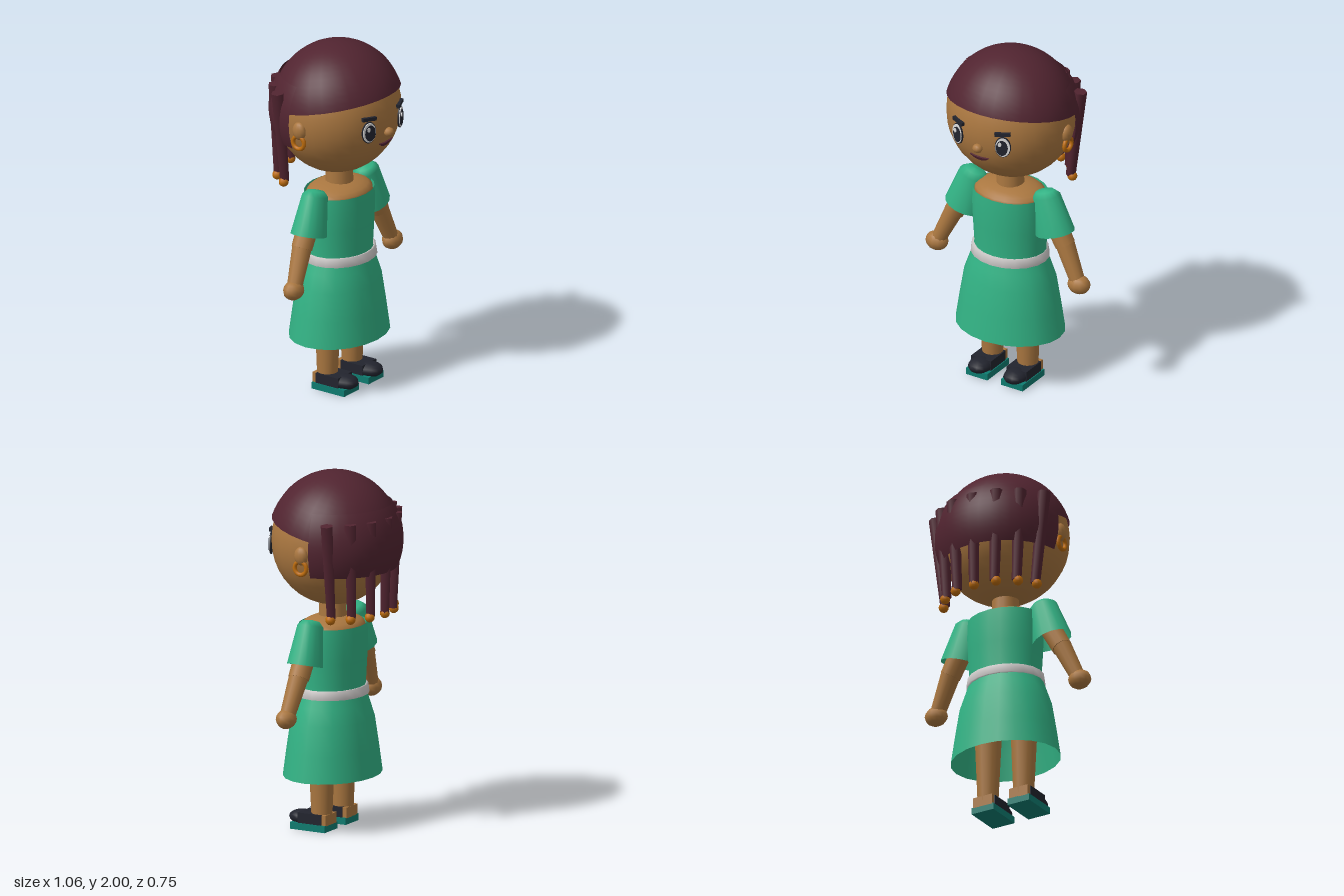
import * as THREE from 'three';

const mat = (name, color, side = THREE.FrontSide) => {
  const m = new THREE.MeshStandardMaterial({ color, side });
  m.name = name;
  return m;
};

export function createModel() {
  const root = new THREE.Group();
  root.name = 'girl';
  const skin = mat('skin', 0xaa7740);
  const hair = mat('hair', 0x512430, THREE.DoubleSide);
  const cloth = mat('green cloth', 0x32b284, THREE.DoubleSide);
  const sash = mat('belt white', 0xcfcbca, THREE.DoubleSide);
  const gold = mat('gold', 0xbd6c0c);
  const black = mat('black', 0x22242e);
  const teal = mat('sole teal', 0x0e7c70);
  const white = mat('eye white', 0xdcdcdc);

  const add = (name, geo, m, x = 0, y = 0, z = 0, parent = root) => {
    const mesh = new THREE.Mesh(geo, m);
    mesh.name = name;
    mesh.position.set(x, y, z);
    parent.add(mesh);
    return mesh;
  };
  const ball = (rx, ry, rz, w = 20, h = 14) => new THREE.SphereGeometry(1, w, h).scale(rx, ry, rz);
  const lathe = (pts, n = 20) => new THREE.LatheGeometry(pts.map(p => new THREE.Vector2(...p)), n);
  // tapered limb between two points
  const limb = (name, a, b, ra, rb, sides, m) => {
    const p = new THREE.Vector3(...a), q = new THREE.Vector3(...b);
    const mesh = add(name, new THREE.CylinderGeometry(ra, rb, p.distanceTo(q), sides), m);
    mesh.position.copy(p).add(q).multiplyScalar(0.5);
    mesh.quaternion.setFromUnitVectors(new THREE.Vector3(0, 1, 0), p.clone().sub(q).normalize());
    return mesh;
  };
  const HEAD = 1.62;

  // head and hair
  add('head', ball(0.365, 0.365, 0.34, 28, 20), skin, 0, HEAD, 0);
  add('hairCap', new THREE.SphereGeometry(1, 28, 14, 0, Math.PI * 2, 0, 1.402)
    .rotateX(-0.195).scale(0.375, 0.38, 0.36), hair, 0, HEAD, 0);
  add('hairBack', new THREE.SphereGeometry(1, 18, 10, Math.PI + 0.15, Math.PI - 0.3, 1.0, 0.977)
    .scale(0.387, 0.38, 0.377), hair, 0, HEAD, 0);

  // braids with beads around the back: top x, z then bottom x, z
  [[0, -0.33, 0, -0.32], [0.14, -0.31, 0.12, -0.3], [0.25, -0.247, 0.225, -0.24], [0.35, -0.155, 0.29, -0.15]]
    .forEach(([tx, tz, bx, bz]) => {
      for (const s of tx ? [1, -1] : [1]) {
        limb('braid', [s * tx, 1.775, tz], [s * bx, 1.24, bz], 0.037, 0.027, 6, hair);
        add('bead', ball(0.028, 0.028, 0.028, 10, 8), gold, s * (bx + (tx ? 0.01 : 0)), 1.235, bz);
      }
    });

  // face
  add('nose', ball(0.03, 0.026, 0.028, 10, 8), skin, 0, 1.548, 0.345);
  const lips = new THREE.Shape();
  lips.moveTo(-0.06, 0.012);
  lips.quadraticCurveTo(-0.03, 0.002, 0, 0.003);
  lips.quadraticCurveTo(0.03, 0.002, 0.06, 0.012);
  lips.quadraticCurveTo(0.035, -0.018, 0, -0.018);
  lips.quadraticCurveTo(-0.035, -0.018, -0.06, 0.012);
  add('mouth', new THREE.ExtrudeGeometry(lips, { depth: 0.009, bevelEnabled: false, curveSegments: 8 }),
    hair, 0, 1.482, 0.316).rotation.x = 0.36;

  for (const s of [1, -1]) {
    // eye, layered as thin plates
    const eye = new THREE.Group();
    eye.name = 'eye';
    eye.position.set(s * 0.145, 1.585, 0.312);
    eye.rotation.y = s * 0.38;
    root.add(eye);
    const plate = (name, rx, ry, m, x, y, z) => add(name,
      new THREE.CylinderGeometry(1, 1, 0.008, 20).rotateX(Math.PI / 2).scale(rx, ry, 1), m, x, y, z, eye);
    plate('eyeRim', 0.045, 0.062, black, 0, 0, 0.003);
    plate('eyeWhite', 0.041, 0.057, white, 0, 0, 0.007);
    plate('pupil', 0.033, 0.046, black, -s * 0.004, -0.003, 0.011);
    plate('highlight', 0.01, 0.013, white, -s * 0.004 - 0.012, 0.02, 0.015);
    const brow = add('eyebrow', new THREE.BoxGeometry(0.088, 0.02, 0.02), black, s * 0.143, 1.663, 0.314);
    brow.rotation.set(0, s * 0.38, s * 0.08);

    // ear and hoop
    add('ear', ball(0.03, 0.052, 0.042, 12, 10), skin, s * 0.36, 1.59, 0);
    add('earring', new THREE.TorusGeometry(0.037, 0.012, 8, 18).rotateY(Math.PI / 2), gold, s * 0.368, 1.523, 0);

    // sleeve and arm
    const sleeve = add('sleeve', lathe([[0.118, -0.22], [0.085, 0], [0.055, 0.028], [0, 0.034]], 14)
      .scale(1, 1, 0.8), cloth, s * 0.235, 1.17, 0.015);
    sleeve.rotation.z = s * 0.275;
    limb('upperArm', [s * 0.26, 1.08, 0.012], [s * 0.36, 0.9, 0.016], 0.062, 0.058, 12, skin);
    limb('forearm', [s * 0.355, 0.915, 0.016], [s * 0.455, 0.7, 0.034], 0.055, 0.042, 12, skin);
    add('hand', ball(0.067, 0.055, 0.055, 12, 8), skin, s * 0.462, 0.69, 0.035);

    // leg and shoe
    const x = s * 0.115;
    limb('leg', [x, 0.5, 0.015], [x, 0.06, 0.012], 0.076, 0.057, 14, skin);
    add('heel', new THREE.BoxGeometry(0.12, 0.06, 0.08), skin, x, 0.065, -0.005);
    add('sole', new THREE.BoxGeometry(0.14, 0.038, 0.22), teal, x, 0.019, 0.065);
    add('shoeUpper', new THREE.BoxGeometry(0.13, 0.06, 0.15), black, x, 0.066, 0.055);
    add('toe', ball(0.066, 0.041, 0.075, 10, 8), black, x, 0.061, 0.137);
  }

  // neck, shoulders and dress
  add('neck', new THREE.CylinderGeometry(0.073, 0.08, 0.18, 16), skin, 0, 1.22, 0.01);
  add('shoulders', ball(0.212, 0.066, 0.168, 20, 12), skin, 0, 1.13, 0.01);
  add('bodice', lathe([[0.213, 0.77], [0.211, 0.82], [0.219, 0.95], [0.224, 1.06], [0.22, 1.145]])
    .scale(1, 1, 0.81), cloth, 0, 0, 0.01);
  add('skirt', lathe([[0.32, 0.3], [0.297, 0.45], [0.27, 0.61], [0.238, 0.7], [0.213, 0.77]])
    .scale(1, 1, 0.8), cloth, 0, 0, 0.011);
  add('belt', lathe([[0.21, 0.75], [0.227, 0.75], [0.219, 0.8], [0.205, 0.8]])
    .scale(1, 1, 0.86), sash, 0, 0, 0.013);

  return root;
}
